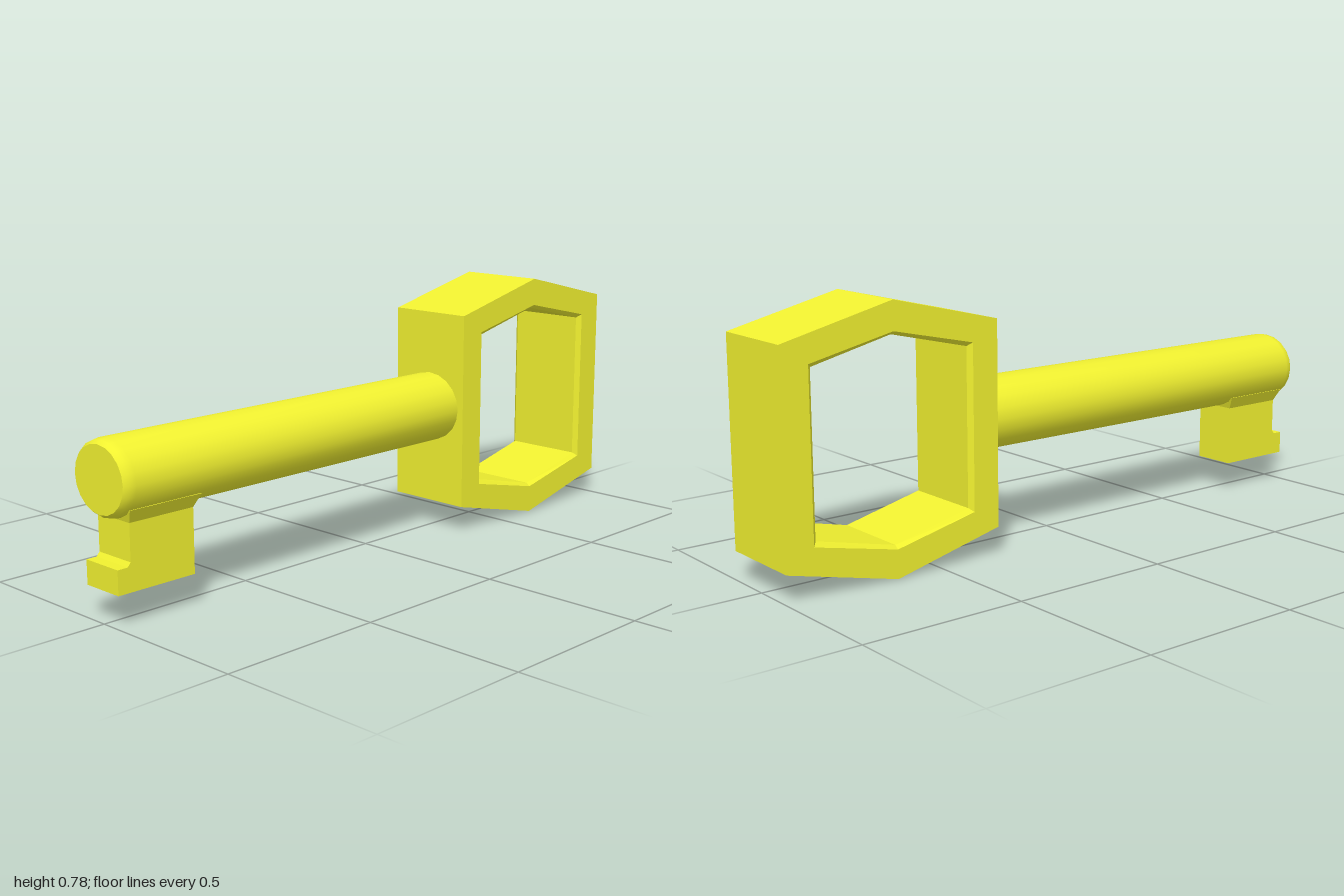
import * as THREE from 'three';
import { toCreasedNormals } from 'three/addons/utils/BufferGeometryUtils.js';

const material = new THREE.MeshStandardMaterial({ color: 0xf0f030 });

function addPart(group, name, geometry) {
  const mesh = new THREE.Mesh(geometry, material);
  mesh.name = name;
  group.add(mesh);
}

// Upright hexagon in the z-y plane, pointed at top and bottom
function hexagon(halfWidth, sideHalf, apexHalf) {
  const cz = -0.648, cy = 0.393;
  return [[1, sideHalf], [0, apexHalf], [-1, sideHalf], [-1, -sideHalf], [0, -apexHalf], [1, -sideHalf]]
    .map(([s, y]) => [cz + s * halfWidth, cy + y]);
}

// Flat-faced ring joining hexagons placed at given x positions
function hexRing(loops) {
  const pos = [];
  const point = (j, i) => {
    const { x, hex } = loops[j % loops.length];
    const [z, y] = hex[i % 6];
    return [x, y, z];
  };
  for (let i = 0; i < 6; i++) {
    for (let j = 0; j < loops.length; j++) {
      const a = point(j, i), b = point(j, i + 1), c = point(j + 1, i + 1), d = point(j + 1, i);
      pos.push(...a, ...d, ...c, ...a, ...c, ...b);
    }
  }
  const geometry = new THREE.BufferGeometry();
  geometry.setAttribute('position', new THREE.Float32BufferAttribute(pos, 3));
  geometry.computeVertexNormals();
  return geometry;
}

export function createModel() {
  const key = new THREE.Group();
  key.name = 'key';

  // Hexagonal handle with a chamfered opening
  const outer = hexagon(0.352, 0.307, 0.392);
  const rim = hexagon(0.266, 0.247, 0.306);
  const inner = hexagon(0.253, 0.236, 0.296);
  addPart(key, 'handle', hexRing([
    { x: -0.139, hex: outer }, { x: 0.139, hex: outer },
    { x: 0.139, hex: rim }, { x: 0.125, hex: inner },
    { x: -0.125, hex: inner }, { x: -0.139, hex: rim },
  ]));

  // Slightly oval shaft with a softened tip
  const profile = [[0, -0.31], [0.118, -0.31], [0.118, 0.967], [0.114, 0.988], [0.104, 1], [0, 1]]
    .map(([r, z]) => new THREE.Vector2(r, z));
  const shaft = new THREE.LatheGeometry(profile, 20);
  shaft.rotateX(Math.PI / 2).scale(1, 0.92, 1).translate(0, 0.397, 0);
  addPart(key, 'shaft', toCreasedNormals(shaft, 0.7));

  // Bit with a forward lip at its foot
  const outline = new THREE.Shape([
    [0.742, 0.095], [1, 0.095], [1, 0.166], [0.967, 0.166], [0.957, 0.178], [0.957, 0.34], [0.742, 0.34],
  ].map(([z, y]) => new THREE.Vector2(z, y)));
  const bit = new THREE.ExtrudeGeometry(outline, { depth: 0.136, bevelEnabled: false });
  bit.translate(0, 0, -0.068).rotateY(-Math.PI / 2);
  addPart(key, 'bit', bit);

  // Flared collar where the bit meets the shaft
  const collar = new THREE.BoxGeometry(0.136, 0.04, 0.215);
  const p = collar.attributes.position;
  for (let i = 0; i < p.count; i++) {
    if (p.getY(i) > 0) p.setXYZ(i, p.getX(i) * 1.32, p.getY(i), p.getZ(i) * 1.12);
  }
  collar.computeVertexNormals();
  collar.translate(0, 0.305, 0.8495);
  addPart(key, 'bitCollar', collar);

  return key;
}
